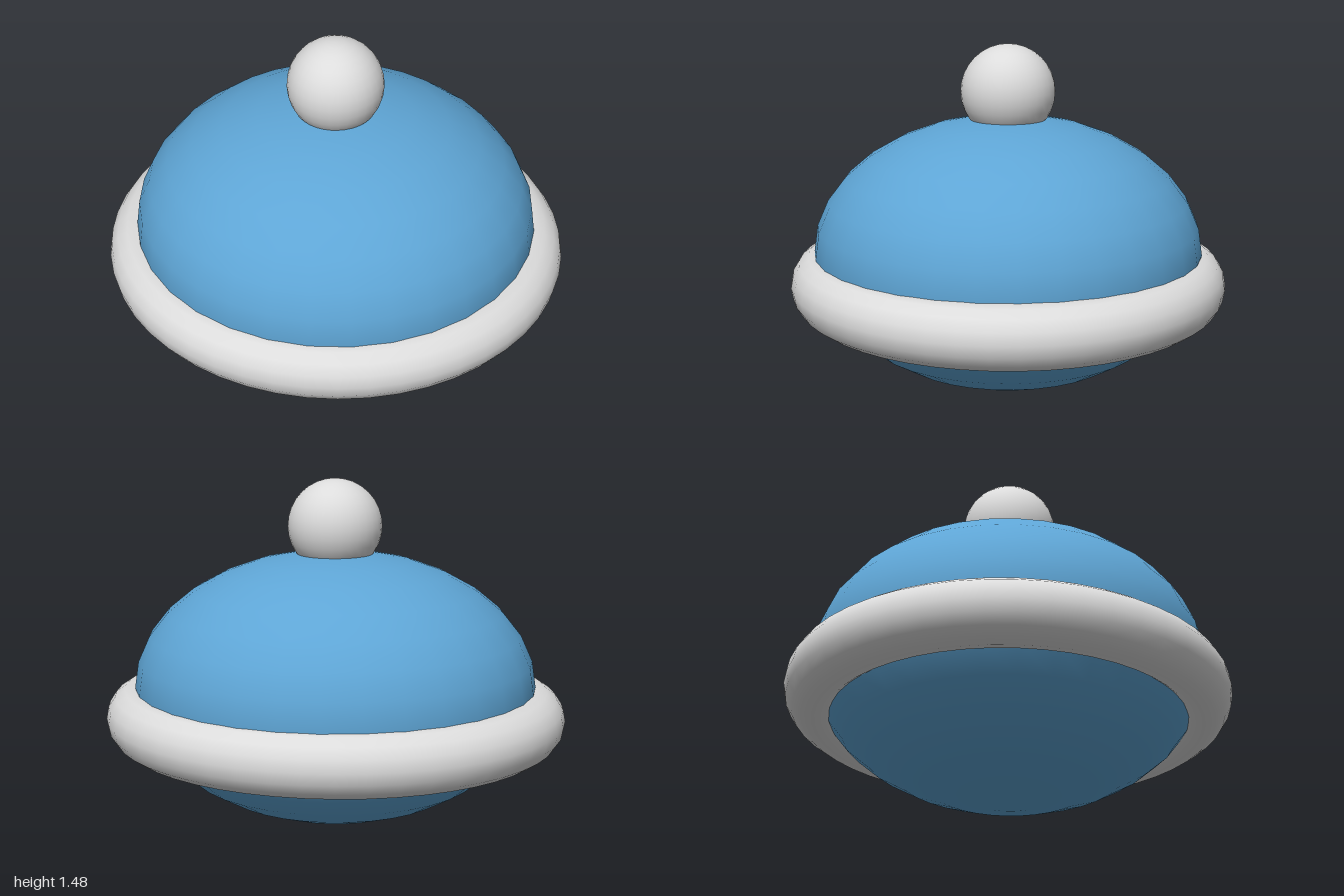
import * as THREE from 'three';

export function createModel() {
  const model = new THREE.Group();
  const blue = new THREE.MeshStandardMaterial({ color: 0x5ea5d5 });
  blue.name = 'blue';
  const lightGrey = new THREE.MeshStandardMaterial({ color: 0xdcdcdc });
  lightGrey.name = 'lightGrey';

  const add = (name, geometry, material, y) => {
    const mesh = new THREE.Mesh(geometry, material);
    mesh.name = name;
    mesh.position.y = y;
    model.add(mesh);
  };

  // Flattened body, slightly narrower front to back
  add('body', new THREE.SphereGeometry(1, 32, 16).scale(0.87, 0.583, 0.84), blue, 0.583);

  // Thick rounded band below the middle
  const band = new THREE.TorusGeometry(0.867, 0.133, 16, 48).rotateX(Math.PI / 2).scale(1, 1, 0.943);
  add('band', band, lightGrey, 0.448);

  // Ball on top
  add('topBall', new THREE.SphereGeometry(0.203, 32, 16), lightGrey, 1.274);

  return model;
}
